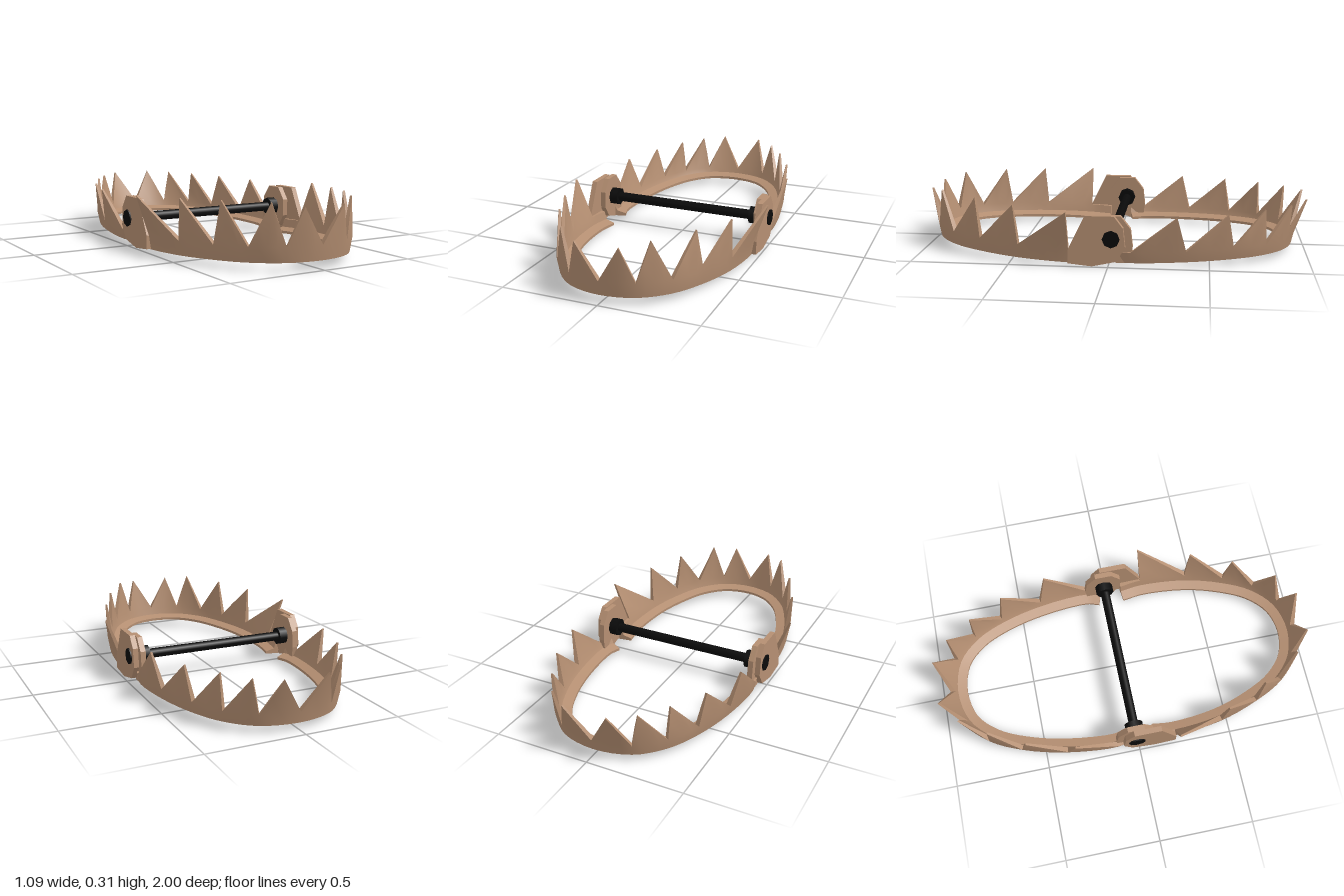
import * as THREE from 'three';
import { toCreasedNormals } from 'three/addons/utils/BufferGeometryUtils.js';

const jawMaterial = new THREE.MeshStandardMaterial({ color: 0xb58f72, side: THREE.DoubleSide });
const axleMaterial = new THREE.MeshStandardMaterial({ color: 0x0a0a0a });
const STEPS = 4; // columns per tooth
const AXLE_Y = 0.145, AXLE_Z = -0.015;

// Half outlines run from the hinge to the middle of the jaw, z pointing away from the hinge.
// notches: [x, z] between teeth, tips: [x, y, z] of each tooth.
const FRONT = {
  notches: [[0.462, 0.08], [0.475, 0.2], [0.45, 0.46], [0.385, 0.67], [0.3, 0.83], [0.17, 0.945], [0, 0.985]],
  tips: [[0.545, 0.29, 0.2], [0.455, 0.3, 0.48], [0.36, 0.31, 0.695], [0.228, 0.315, 0.905], [0.11, 0.297, 0.995]],
  floor: z => 0.004 + 0.04 * z,
  wall: 0.073,
};
const BACK = {
  notches: [[0.455, 0.03], [0.477, 0.11], [0.455, 0.385], [0.395, 0.62], [0.315, 0.785], [0.19, 0.905], [0, 0.95]],
  tips: [[0.49, 0.262, 0.34], [0.42, 0.265, 0.59], [0.325, 0.272, 0.775], [0.23, 0.275, 0.912], [0.115, 0.28, 1.0]],
  floor: z => 0.016 + 0.022 * z,
  wall: 0.057,
};

// Mirrors a half list to the other side of the jaw
const mirrored = (list, shared) => [...list, ...list.slice(0, list.length - shared).reverse().map(([x, ...r]) => [-x, ...r])];

// L-shaped rim swept around the jaw, its upper edge pulled up into teeth
function jawGeometry({ notches, tips, floor, wall }) {
  const points = mirrored(notches, 1).map(([x, z]) => new THREE.Vector3(x, 0, z));
  const teeth = mirrored(tips, 0).map(p => new THREE.Vector3(...p));
  const curve = new THREE.CatmullRomCurve3(points, false, 'centripetal');
  const segments = points.length - 1, columns = segments * STEPS;
  const positions = [], index = [], K = 8;

  const columnAt = j => {
    const p = curve.getPoint(j / columns);
    const t = curve.getTangent(j / columns);
    const n = new THREE.Vector3(t.z, 0, -t.x).normalize();
    const y0 = floor(p.z);
    const at = (inset, y) => p.clone().addScaledVector(n, -inset).setY(y);
    return { n, y0, at, edge: at(0, y0 + wall) };
  };

  for (let j = 0; j <= columns; j++) {
    const { n, y0, at, edge } = columnAt(j);
    const seg = Math.min(Math.floor(j / STEPS), segments - 1);
    const u = j / STEPS - seg;
    const top = edge.clone();
    const tip = teeth[seg - 1];
    let rise = 0;
    if (tip && seg < segments - 1 && u > 0 && u < 1) {
      rise = 1 - Math.abs(2 * u - 1);
      top.copy(columnAt((u <= 0.5 ? seg : seg + 1) * STEPS).edge).lerp(tip, rise);
    }
    const topInner = top.clone().addScaledVector(n, -0.026 + 0.016 * rise);
    const section = [
      at(0.085, y0 + 0.002), at(0.012, y0), edge, top,
      topInner, at(0.026, y0 + wall), at(0.036, y0 + 0.03), at(0.085, y0 + 0.016),
    ];
    section.forEach(v => positions.push(v.x, v.y, v.z));
  }
  for (let j = 0; j < columns; j++) {
    for (let k = 0; k < K; k++) {
      const a = j * K + k, b = j * K + (k + 1) % K;
      index.push(a, b, b + K, a, b + K, a + K);
    }
  }
  // End caps fanned from the inner corner of the section
  const last = columns * K;
  for (let k = 0; k < K; k++) {
    const next = (k + 1) % K;
    if (k === 6 || next === 6) continue;
    index.push(last + 6, last + k, last + next, 6, next, k);
  }
  const geometry = new THREE.BufferGeometry();
  geometry.setAttribute('position', new THREE.Float32BufferAttribute(positions, 3));
  geometry.setIndex(index);
  return toCreasedNormals(geometry, 0.7);
}

// Hinge plates, outlined in [z, y]
const FRONT_EAR = [[0.2, 0.085], [0.115, 0.26], [-0.03, 0.26], [-0.075, 0.2], [-0.085, 0.1], [-0.04, 0.03], [0.08, 0.003], [0.2, 0.015]];
const BACK_EAR = [[-0.11, 0.018], [-0.12, 0.1], [-0.11, 0.19], [-0.06, 0.255], [0.03, 0.255], [0.08, 0.19], [0.08, 0.1], [0.04, 0.04], [-0.04, 0.016]];

function ear(outline, outerX, side, name) {
  const depth = 0.028;
  const shape = new THREE.Shape(outline.map(p => new THREE.Vector2(...p)));
  const geometry = new THREE.ExtrudeGeometry(shape, { depth, bevelEnabled: false });
  geometry.rotateY(-Math.PI / 2);
  geometry.translate(side > 0 ? outerX : -outerX + depth, 0, 0);
  const mesh = new THREE.Mesh(geometry, jawMaterial);
  mesh.name = name;
  return mesh;
}

function rod(radius, length, x, sides, name) {
  const mesh = new THREE.Mesh(new THREE.CylinderGeometry(radius, radius, length, sides), axleMaterial);
  mesh.rotation.z = Math.PI / 2;
  mesh.position.set(x, AXLE_Y, AXLE_Z);
  mesh.name = name;
  return mesh;
}

export function createModel() {
  const model = new THREE.Group();
  model.name = 'jawTrap';

  const frontJaw = new THREE.Mesh(jawGeometry(FRONT), jawMaterial);
  frontJaw.name = 'frontJaw';
  const backJaw = new THREE.Mesh(jawGeometry(BACK), jawMaterial);
  backJaw.name = 'backJaw';
  backJaw.rotation.y = Math.PI;
  model.add(frontJaw, backJaw);

  // Hinge plates and axle fittings on both sides
  for (const side of [1, -1]) {
    const label = side > 0 ? 'left' : 'right';
    model.add(
      ear(FRONT_EAR, 0.488, side, label + 'FrontHingePlate'),
      ear(BACK_EAR, 0.459, side, label + 'BackHingePlate'),
      rod(0.048, 0.05, side * 0.41, 8, label + 'AxleCollar'),
      rod(0.044, 0.07, side * 0.46, 8, label + 'AxleBolt'),
    );
  }
  model.add(rod(0.025, 0.86, 0, 10, 'axle'));
  return model;
}
